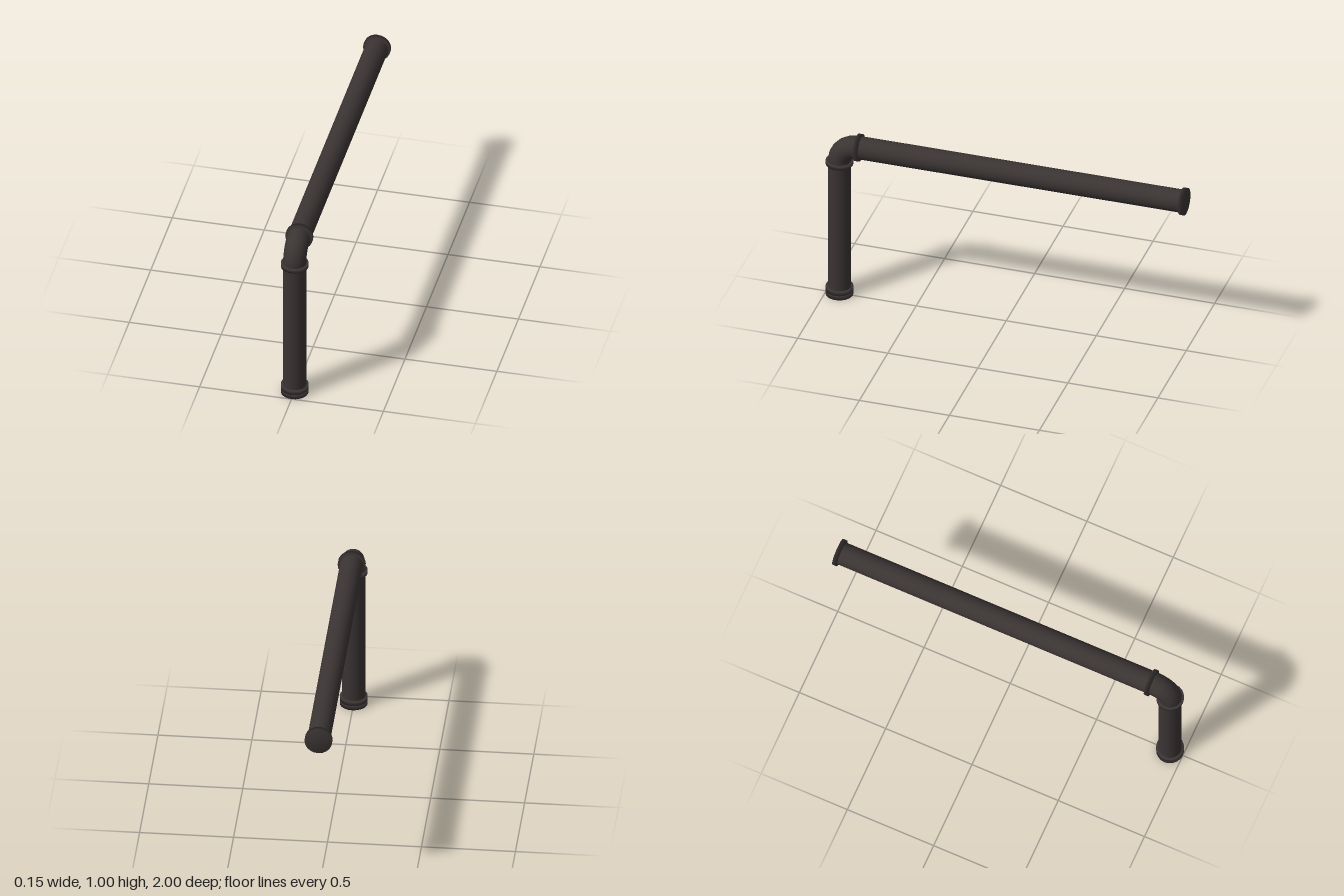
import * as THREE from 'three';

const SIDES = 20;
const PIPE_R = 0.062, COLLAR_R = 0.074;
const AXIS = 0.926; // height of the long pipe and depth of the upright
const BEND = 0.83;  // where both straight runs meet the elbow

export function createModel() {
  const model = new THREE.Group();
  const iron = new THREE.MeshStandardMaterial({ color: 0x3a3433 });
  iron.name = 'dark iron';

  // Closed turned part with softly shaded rims, starting at y = 0
  const turned = (name, radius, length, parent, start) => {
    const profile = [[0, 0], [radius, 0], [radius, length], [0, length]]
      .map(([r, y]) => new THREE.Vector2(r, y));
    const mesh = new THREE.Mesh(new THREE.LatheGeometry(profile, SIDES), iron);
    mesh.name = name;
    mesh.position.y = start;
    parent.add(mesh);
  };

  // Straight pipe wall, open at both ends
  const pipe = (name, length, parent, start) => {
    const geo = new THREE.CylinderGeometry(PIPE_R, PIPE_R, length, SIDES, 1, true);
    const mesh = new THREE.Mesh(geo, iron);
    mesh.name = name;
    mesh.position.y = start + length / 2;
    parent.add(mesh);
  };

  // Upright run with a two-piece foot and a collar under the elbow
  const upright = new THREE.Group();
  upright.name = 'uprightRun';
  upright.position.z = AXIS;
  turned('footCap', COLLAR_R, 0.026, upright, 0);
  turned('footCollar', COLLAR_R, 0.024, upright, 0.026);
  pipe('uprightPipe', BEND - 0.04, upright, 0.04);
  turned('uprightCollar', COLLAR_R, 0.022, upright, BEND - 0.022);

  // Long run toward the back, closed by an end cap
  const longRun = new THREE.Group();
  longRun.name = 'longRun';
  longRun.position.set(0, AXIS, BEND);
  longRun.rotation.x = -Math.PI / 2;
  turned('longCollar', COLLAR_R, 0.024, longRun, 0);
  pipe('longPipe', 1.81, longRun, 0.01);
  turned('endCap', COLLAR_R, 0.025, longRun, 1.805);

  // Quarter-turn elbow
  const elbow = new THREE.Mesh(
    new THREE.TorusGeometry(AXIS - BEND, PIPE_R, SIDES, 5, Math.PI / 2), iron);
  elbow.name = 'elbow';
  elbow.position.set(0, BEND, BEND);
  elbow.rotation.y = -Math.PI / 2;

  model.add(upright, longRun, elbow);
  return model;
}
